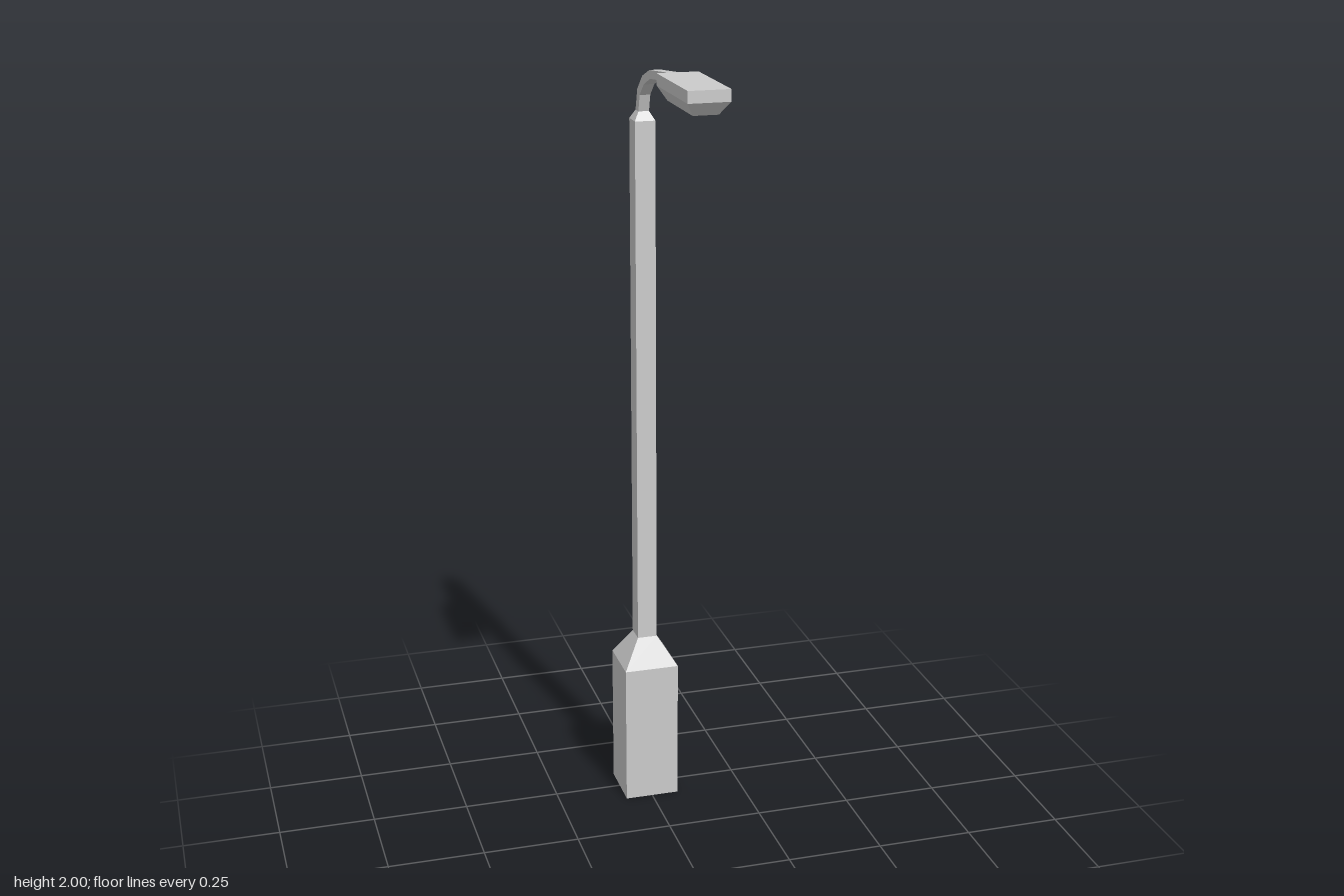
import * as THREE from 'three';

const material = new THREE.MeshStandardMaterial({
  color: 0xcccccc, flatShading: true, side: THREE.DoubleSide,
});

// Rectangular section at (y, z); tilt leans its direction of travel from +y to +z.
function section(y, z, halfX, halfV, tilt = 0) {
  const vy = Math.sin(tilt) * halfV, vz = -Math.cos(tilt) * halfV;
  return [[-1, -1], [1, -1], [1, 1], [-1, 1]].map(([sx, sv]) =>
    [sx * halfX, y + sv * vy, z + sv * vz]);
}

// Flat-sided skin through a list of sections, with optional end caps.
function loft(name, sections, capStart = false, capEnd = false) {
  const positions = [];
  const quad = (a, b, c, d) => positions.push(...a, ...b, ...c, ...a, ...c, ...d);
  for (let i = 0; i < sections.length - 1; i++) {
    const p = sections[i], q = sections[i + 1];
    for (let j = 0; j < 4; j++) {
      const k = (j + 1) % 4;
      quad(p[j], p[k], q[k], q[j]);
    }
  }
  if (capStart) quad(...[...sections[0]].reverse());
  if (capEnd) quad(...sections[sections.length - 1]);
  const geometry = new THREE.BufferGeometry();
  geometry.setAttribute('position', new THREE.Float32BufferAttribute(positions, 3));
  geometry.computeVertexNormals();
  const mesh = new THREE.Mesh(geometry, material);
  mesh.name = name;
  return mesh;
}

export function createModel() {
  const group = new THREE.Group();
  group.name = 'streetLamp';
  const poleZ = -0.245, side = Math.PI / 2;

  // Square base, hollow underneath, with sloped shoulders
  group.add(loft('base', [
    section(0, poleZ, 0.072, 0.072),
    section(0.38, poleZ, 0.072, 0.072),
    section(0.455, poleZ, 0.026, 0.027),
  ]));

  // Straight pole with a tapered collar
  group.add(loft('pole', [
    section(0.455, poleZ, 0.026, 0.027),
    section(1.838, poleZ, 0.026, 0.027),
    section(1.86, poleZ, 0.0135, 0.0135),
  ]));

  // Curved arm reaching forward
  group.add(loft('arm', [
    section(1.86, poleZ, 0.0135, 0.0135),
    section(1.908, -0.23, 0.0135, 0.0125, 0.5),
    section(1.943, -0.188, 0.0135, 0.0115, 0.98),
    section(1.966, -0.127, 0.0135, 0.0105, 1.35),
    section(1.984, 0.03, 0.0135, 0.01, 1.48),
  ]));

  // Flared neck joining the arm to the lamp head
  group.add(loft('neck', [
    section(1.984, 0.03, 0.0135, 0.01, 1.48),
    section(1.986, 0.067, 0.05, 0.014, side),
  ]));

  // Lamp head with a tapered underside
  group.add(loft('lampHead', [
    section(1.94, 0.188, 0.03, 0.102),
    section(1.972, 0.1925, 0.05, 0.1255),
    section(2, 0.1925, 0.05, 0.1255),
  ], true, true));

  return group;
}
